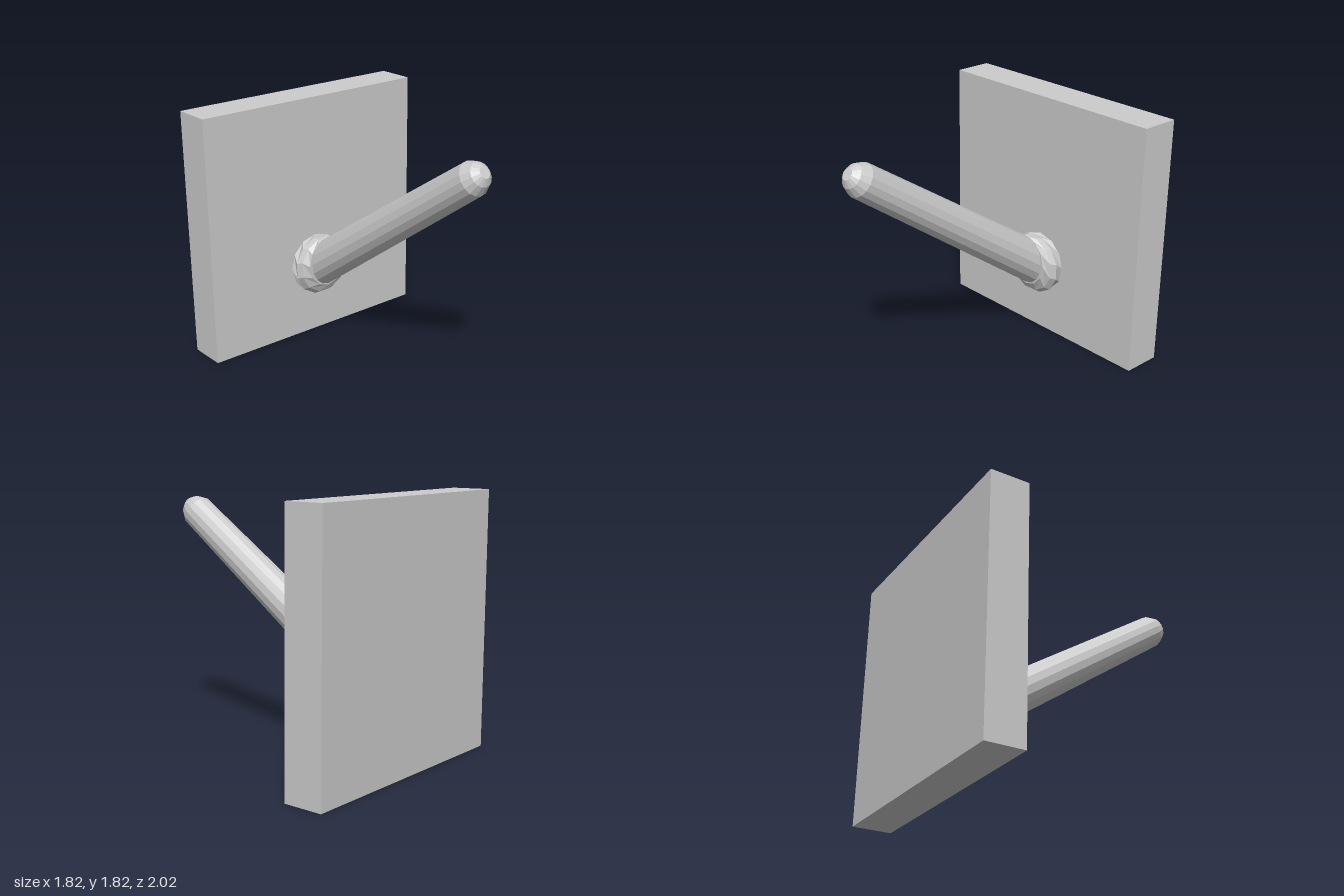
import * as THREE from 'three';

const grey = new THREE.MeshStandardMaterial({ color: 0xcccccc, flatShading: true });

// Skins elliptical rings given as { y, z, rx, ry, tilt, turn }, ordered back to front; closes the front end.
function loft(name, rings, sides) {
  const points = [];
  const index = [];
  for (const { y, z, rx, ry, tilt = 0, turn = 0 } of rings) {
    for (let i = 0; i < sides; i++) {
      const a = ((i + turn) / sides) * Math.PI * 2;
      const up = Math.sin(a) * ry;
      points.push(Math.cos(a) * rx, y + up * Math.cos(tilt), z - up * Math.sin(tilt));
    }
  }
  for (let r = 0; r < rings.length - 1; r++) {
    for (let i = 0; i < sides; i++) {
      const a = r * sides + i;
      const b = r * sides + ((i + 1) % sides);
      index.push(a, b, b + sides, a, b + sides, a + sides);
    }
  }
  const last = (rings.length - 1) * sides;
  for (let i = 1; i < sides - 1; i++) index.push(last, last + i, last + i + 1);
  const geometry = new THREE.BufferGeometry();
  geometry.setAttribute('position', new THREE.Float32BufferAttribute(points, 3));
  geometry.setIndex(index);
  const flat = geometry.toNonIndexed();
  flat.computeVertexNormals();
  const mesh = new THREE.Mesh(flat, grey);
  mesh.name = name;
  return mesh;
}

export function createModel() {
  const model = new THREE.Group();
  model.name = 'wallPeg';

  // Square backing plate
  const plate = new THREE.Mesh(new THREE.BoxGeometry(1.82, 1.82, 0.28), grey);
  plate.name = 'wallPlate';
  plate.position.set(0, 0.91, -0.86);
  model.add(plate);

  // Faceted collar where the peg meets the plate
  model.add(loft('collar', [
    { y: 0.55, z: -0.73, rx: 0.225, ry: 0.225 },
    { y: 0.55, z: -0.66, rx: 0.23, ry: 0.232, turn: 0.5 },
    { y: 0.565, z: -0.615, rx: 0.21, ry: 0.218, turn: 0.5 },
    { y: 0.595, z: -0.575, rx: 0.165, ry: 0.188, turn: 1 },
  ], 12));

  // Tapered peg: upright cut at the collar, square cut and rounded tip at the far end
  const tilt = 0.605;
  const tipRing = (along, radius) => ({
    y: 1.63 + along * Math.sin(tilt),
    z: 0.905 + along * Math.cos(tilt),
    rx: radius * 0.95, ry: radius, tilt,
  });
  model.add(loft('peg', [
    { y: 0.605, z: -0.575, rx: 0.146, ry: 0.186 },
    tipRing(0, 0.119),
    tipRing(0.07, 0.086),
    tipRing(0.108, 0.042),
  ], 16));

  return model;
}
